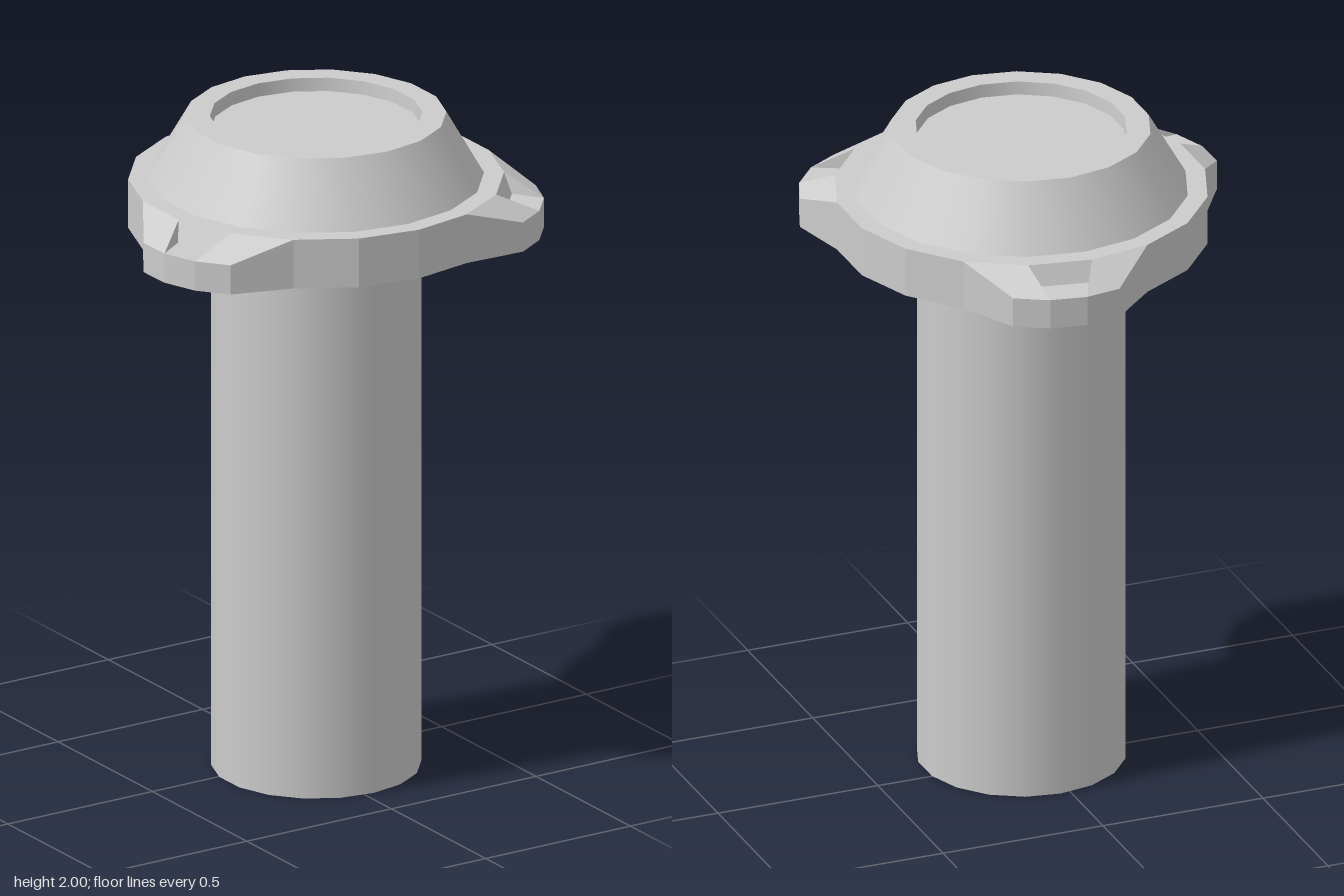
import * as THREE from 'three';

const SIDES = 18;
const LOBE_ANGLES = [50, 170, 290];
const RIM_Y = 1.81, LOBE_Y = 1.75, BASE_Y = 1.66;
const RIM_R = 0.545;

const smooth = new THREE.MeshStandardMaterial({ color: 0xcccccc, side: THREE.DoubleSide });
const faceted = new THREE.MeshStandardMaterial({ color: 0xcccccc, side: THREE.DoubleSide, flatShading: true });

// Point at an angle in degrees, measured from +z towards +x
function polar(deg, r, y) {
  const a = THREE.MathUtils.degToRad(deg);
  return new THREE.Vector3(r * Math.sin(a), y, r * Math.cos(a));
}

// Faceted geometry from convex polygons, corners counter-clockwise
function fromPolygons(polygons) {
  const points = [];
  for (const p of polygons) {
    for (let i = 1; i < p.length - 1; i++) points.push(p[0], p[i], p[i + 1]);
  }
  const geometry = new THREE.BufferGeometry().setFromPoints(points);
  geometry.computeVertexNormals();
  return geometry;
}

export function createModel() {
  const model = new THREE.Group();
  model.name = 'bolt';
  const add = (name, geometry, material) => {
    const mesh = new THREE.Mesh(geometry, material);
    mesh.name = name;
    model.add(mesh);
  };
  // One band of revolution between two radius/height pairs
  const band = (name, r0, y0, r1, y1) => add(name, new THREE.LatheGeometry(
    [new THREE.Vector2(r0, y0), new THREE.Vector2(r1, y1)], SIDES), smooth);

  // Shaft, whose top forms the floor of the recess
  const shaft = new THREE.CylinderGeometry(0.305, 0.305, 1.96, SIDES);
  add('shaft', shaft.translate(0, 0.98, 0), smooth);

  // Hollow head: flat rim, sloping cone, top ring and recess wall
  band('flangeRim', RIM_R, RIM_Y, 0.487, RIM_Y);
  band('headCone', 0.487, RIM_Y, 0.378, 2);
  band('headTopRing', 0.378, 2, 0.308, 2);
  band('recessWall', 0.308, 2, 0.305, 1.96);

  // Flange outline with three lobes
  const outline = [];
  for (const c of LOBE_ANGLES) {
    const rim = a => polar(c + a, RIM_R, RIM_Y);
    outline.push(rim(-30));
    for (const [a, r] of [[-14.2, 0.642], [-4.8, 0.66], [4.8, 0.66], [14.2, 0.642]]) {
      outline.push(polar(c + a, r, LOBE_Y));
    }
    outline.push(rim(30), rim(50), rim(70));
  }
  const walls = outline.map((p, i) => {
    const q = outline[(i + 1) % outline.length];
    return [p.clone().setY(BASE_Y), q.clone().setY(BASE_Y), q, p];
  });
  add('flangeWall', fromPolygons(walls), faceted);

  // Sloping lobe tops, each with a notch cut into the middle
  LOBE_ANGLES.forEach((c, i) => {
    const [b0, l0, l1, l2, l3, b3] = outline.slice(i * 8, i * 8 + 6);
    const b1 = polar(c - 10, RIM_R, RIM_Y), b2 = polar(c + 10, RIM_R, RIM_Y);
    const f1 = polar(c - 8, 0.567, LOBE_Y), f2 = polar(c + 8, 0.567, LOBE_Y);
    add('lobeTop', fromPolygons([
      [b0, l0, b1], [b1, l0, l1],
      [b3, b2, l3], [b2, l2, l3],
    ]), faceted);
    add('lobeNotch', fromPolygons([
      [f1, l1, l2, f2],
      [b1, f1, f2, b2],
      [b1, l1, f1], [b2, f2, l2],
    ]), faceted);
  });

  // The shaft axis sits slightly off centre because the lobes are uneven
  model.position.set(0.03, 0, 0.055);
  const root = new THREE.Group();
  root.name = 'lobedBolt';
  root.add(model);
  return root;
}
